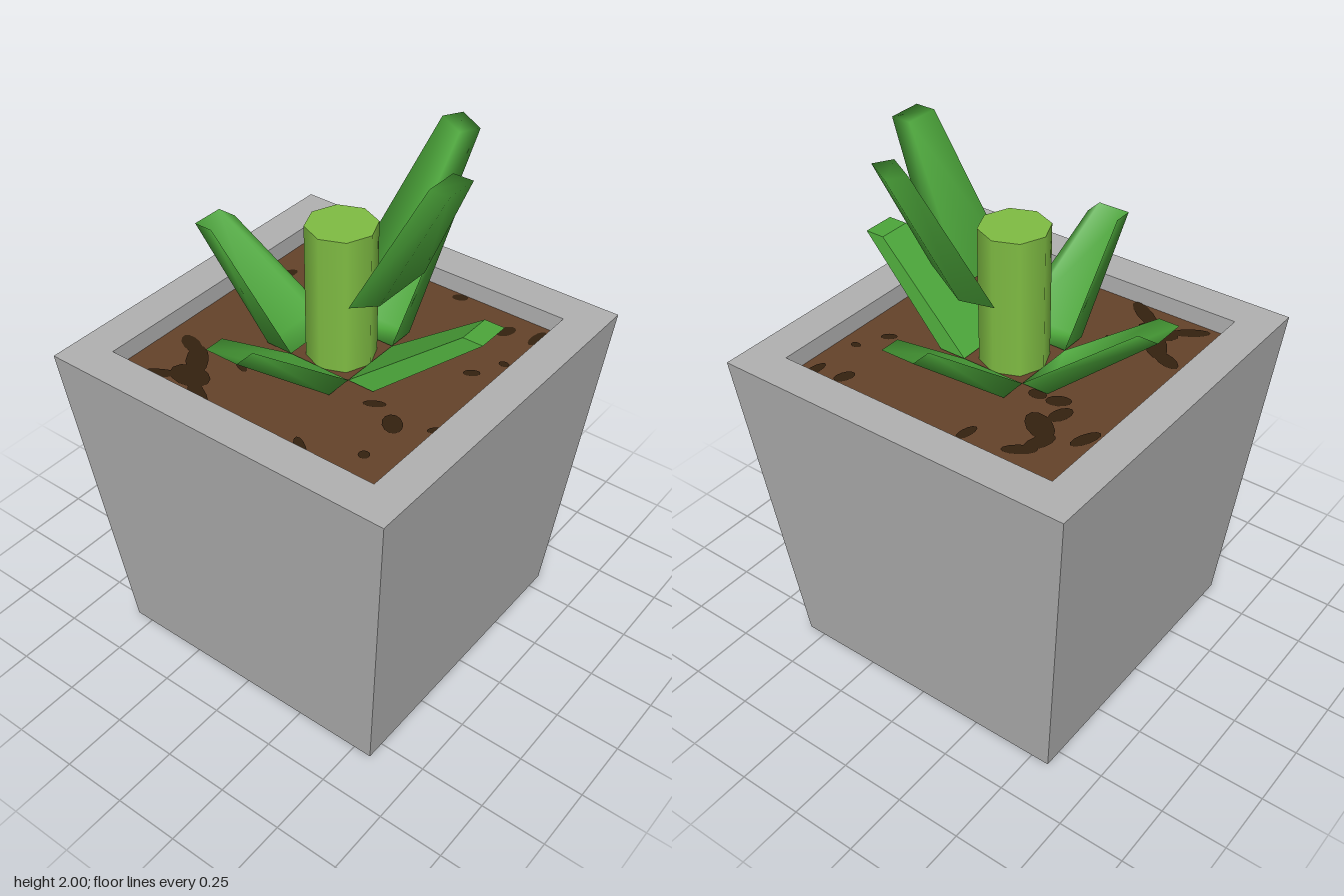
import * as THREE from 'three';

const mat = (name, color, side = THREE.FrontSide) => {
  const m = new THREE.MeshStandardMaterial({ color, side });
  m.name = name;
  return m;
};

const SOIL_Y = 1.2;

// Tapered leaf pointing along +x. Profile: inner base, outer base, outer tip, inner tip.
// A cupped leaf is open along its upper side.
function leafGeometry(profile, { cupped = false, flat = false } = {}) {
  const widths = [0.125, 0.125, 0.063, 0.063];
  const pos = [];
  profile.forEach(([x, y], i) => pos.push(x, y, widths[i], x, y, -widths[i]));
  const index = [];
  const quad = (a, b, c, d) => index.push(a, b, c, a, c, d);
  quad(0, 2, 4, 6);
  quad(7, 5, 3, 1);
  for (let i = 0; i < (cupped ? 2 : 4); i++) {
    const j = (i + 1) % 4;
    quad(2 * i + 1, 2 * j + 1, 2 * j, 2 * i);
  }
  let g = new THREE.BufferGeometry();
  g.setAttribute('position', new THREE.Float32BufferAttribute(pos, 3));
  g.setIndex(index);
  if (flat) g = g.toNonIndexed();
  g.computeVertexNormals();
  return g;
}

export function createModel() {
  const model = new THREE.Group();
  model.name = 'pottedPlant';
  const potGrey = mat('potGrey', 0xb0b0b0);
  const soilBrown = mat('soilBrown', 0x64422a);
  const soilDark = mat('soilDark', 0x33210f);
  const stemGreen = mat('stemGreen', 0x7fbc43);
  const leafGreen = mat('leafGreen', 0x4ca63a, THREE.DoubleSide);

  const add = (name, geometry, material, parent = model) => {
    const mesh = new THREE.Mesh(geometry, material);
    mesh.name = name;
    parent.add(mesh);
    return mesh;
  };

  // Square flared pot with a thick rim
  const potProfile = [[0, 0], [0.57, 0], [0.695, 1.27], [0.555, 1.27], [0.555, SOIL_Y - 0.02]]
    .map(([half, y]) => new THREE.Vector2(half * Math.SQRT2, y));
  const potGeometry = new THREE.LatheGeometry(potProfile, 4, Math.PI / 4).toNonIndexed();
  potGeometry.computeVertexNormals();
  add('pot', potGeometry, potGrey);

  // Soil surface
  add('soil', new THREE.PlaneGeometry(1.11, 1.11).rotateX(-Math.PI / 2), soilBrown).position.y = SOIL_Y;

  // Dark soil patches: x, z, half length, half width, turn
  const patches = [
    [-0.46, -0.53, 0.04, 0.02, -0.3], [-0.33, -0.42, 0.06, 0.025, 0.6], [-0.36, -0.35, 0.06, 0.03, 1.2],
    [-0.31, -0.28, 0.08, 0.045, -0.6], [-0.33, -0.19, 0.05, 0.03, 1.3], [-0.28, -0.13, 0.045, 0.03, 0.5],
    [-0.47, -0.25, 0.06, 0.025, 1.2], [-0.14, -0.45, 0.045, 0.02, 1.4], [-0.2, -0.14, 0.035, 0.025, 0],
    [-0.44, 0.29, 0.06, 0.03, -0.4], [-0.36, 0.35, 0.09, 0.04, -0.9], [-0.32, 0.43, 0.08, 0.055, 0],
    [-0.42, 0.49, 0.07, 0.025, 0.6], [-0.22, 0.5, 0.09, 0.03, -0.6], [-0.22, 0.28, 0.04, 0.015, -0.5],
    [0.27, 0.17, 0.04, 0.018, 0.5], [0.38, 0.22, 0.05, 0.035, -0.8], [0.51, 0.16, 0.03, 0.015, 0.8],
    [0.4, 0.4, 0.02, 0.02, 0], [0.41, 0.52, 0.04, 0.02, 0.4], [0.22, 0.5, 0.06, 0.02, -0.7],
    [0.39, -0.45, 0.04, 0.025, 1.2], [0.5, -0.48, 0.05, 0.02, 1.5], [0.14, -0.53, 0.03, 0.02, 0.4],
    [0.49, -0.28, 0.02, 0.015, 0], [0.43, -0.17, 0.03, 0.018, 0.6],
  ];
  const patchGroup = new THREE.Group();
  patchGroup.name = 'soilPatches';
  model.add(patchGroup);
  for (const [x, z, a, b, turn] of patches) {
    const g = new THREE.CircleGeometry(1, 12).scale(a, b, 1).rotateZ(turn).rotateX(-Math.PI / 2);
    add('soilPatch', g, soilDark, patchGroup).position.set(x, SOIL_Y + 0.003, z);
  }

  // Stem
  const stemHeight = 1.715 - SOIL_Y;
  add('stem', new THREE.CylinderGeometry(0.125, 0.125, stemHeight, 8), stemGreen)
    .position.y = SOIL_Y + stemHeight / 2;

  // Lower leaves, one on each side; three are cupped
  const lower = [[0.125, 1.207], [0.23, 1.207], [0.605, 1.525], [0.53, 1.525]];
  for (let i = 0; i < 4; i++) {
    const g = leafGeometry(lower, { cupped: i > 0, flat: i === 0 });
    add('lowerLeaf', g, leafGreen).rotation.y = i * Math.PI / 2;
  }

  // Steeper leaves growing from the stem
  const upper = [[0.125, 1.5], [0.25, 1.56], [0.455, 2], [0.38, 2]];
  for (const angle of [0, Math.PI / 3]) {
    add('upperLeaf', leafGeometry(upper), leafGreen).rotation.y = angle;
  }
  return model;
}
